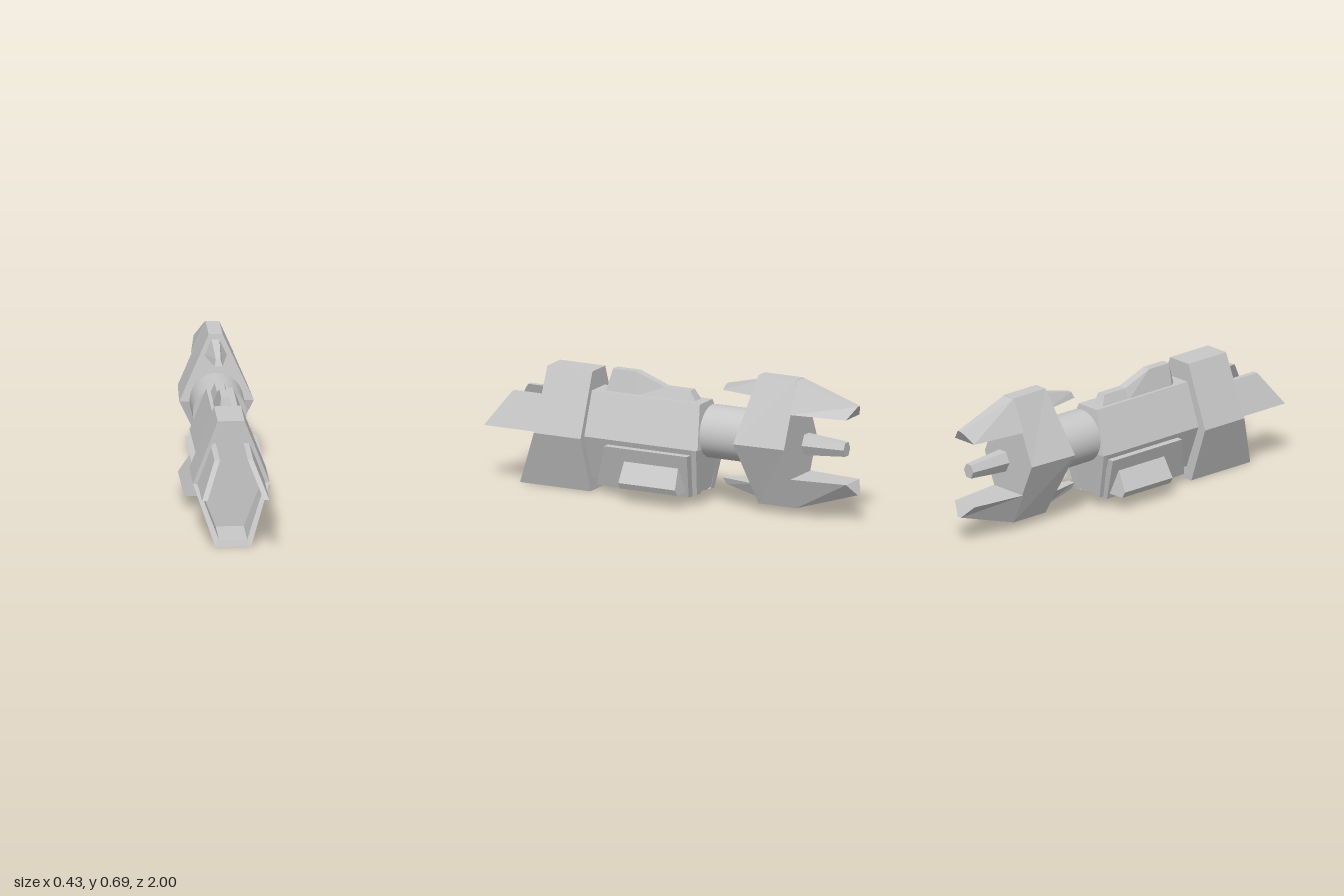
import * as THREE from 'three';

const hull = new THREE.MeshStandardMaterial({ color: 0xc8c8c8 });
hull.name = 'hull grey';

// Flat-faced skin over rings of [x, y, z]; first ring runs counterclockwise seen from outside.
function loft(rings) {
  const pos = [];
  const tri = (...p) => p.forEach((v) => pos.push(...v));
  const n = rings[0].length;
  for (let r = 0; r < rings.length - 1; r++) {
    const a = rings[r], b = rings[r + 1];
    for (let i = 0; i < n; i++) {
      const j = (i + 1) % n;
      tri(a[i], b[i], b[j]);
      tri(a[i], b[j], a[j]);
    }
  }
  const first = rings[0], last = rings[rings.length - 1];
  for (let i = 1; i < n - 1; i++) {
    tri(first[0], first[i], first[i + 1]);
    tri(last[0], last[i + 1], last[i]);
  }
  const g = new THREE.BufferGeometry();
  g.setAttribute('position', new THREE.Float32BufferAttribute(pos, 3));
  g.computeVertexNormals();
  return g;
}

// Mirror rings across x or y, keeping faces outward.
const flip = (rings, axis, about = 0) => rings.map((ring) => ring.map((p) => {
  const q = [...p];
  q[axis] = 2 * about - q[axis];
  return q;
}).reverse());

// Six-sided ring starting at the +x waist: half widths, heights and depths at waist, top, bottom.
function hex(cx, [wm, wt, wb], [ym, yt, yb], [zm, zt, zb]) {
  return [
    [cx + wm, ym, zm], [cx + wt, yt, zt], [cx - wt, yt, zt],
    [cx - wm, ym, zm], [cx - wb, yb, zb], [cx + wb, yb, zb],
  ];
}

// Leaning side plate: outline of [z, y], outer face at x(y), thickness t.
const plate = (outline, x, t) => [0, t].map((d) => outline.map(([z, y]) => [x(y) - d, y, z]));

export function createModel() {
  const model = new THREE.Group();
  model.name = 'spaceship';
  const add = (name, geometry) => {
    const m = new THREE.Mesh(geometry, hull);
    m.name = name;
    model.add(m);
    return m;
  };
  const pair = (name, rings, cx = 0) => {
    add(name + 'Left', loft(rings)).position.x = cx;
    add(name + 'Right', loft(flip(rings, 0))).position.x = cx;
  };

  // Hollow bow with a projecting lower lip
  const cx = -0.012;
  const inner = [0.167, 0.054, 0.069], innerY = [0.29, 0.588, 0.035];
  const outer = [0.188, 0.066, 0.088], outerY = [0.29, 0.604, 0.004];
  add('bow', loft([
    hex(cx, inner, innerY, [0.6, 0.6, 0.6]),
    hex(cx, inner, innerY, [0.71, 0.7, 0.83]),
    hex(cx, outer, outerY, [0.71, 0.7, 0.84]),
    hex(cx, outer, outerY, [0.45, 0.45, 0.45]),
  ]));
  pair('bowFin', plate([[1, 0.29], [0.58, 0.29], [0.58, 0.46], [0.88, 0.46]],
    (y) => 0.165 - (y - 0.29) * 0.41, 0.027), cx);

  // Main hull
  const hullW = [0.145, 0.066, 0.06], hullY = [0.295, 0.51, 0.07];
  add('mainHull', loft([
    hex(-0.006, hullW, hullY, [0.46, 0.46, 0.46]),
    hex(-0.006, hullW, hullY, [-0.18, -0.15, -0.15]),
  ]));

  // Stepped spine on the hull
  const spine = [
    [0.39, 0.5, 0.39, 0.505], [0.36, 0.5, 0.36, 0.62], [0.23, 0.5, 0.23, 0.62],
    [0.07, 0.5, 0.07, 0.56], [-0.07, 0.5, -0.07, 0.56], [-0.1, 0.5, -0.1, 0.505],
  ].map(([zb, yb, zt, yt]) => [
    [-0.058, yb, zb], [0.03, yb, zb], [0.008, yt, zt], [-0.036, yt, zt],
  ]);
  add('spine', loft(spine));

  // Lower side armour, rear strips and pods
  pair('sidePanel', plate([[0.4, 0.05], [-0.11, 0.045], [-0.14, 0.27], [0.32, 0.27]],
    (y) => 0.1 + (y - 0.045) * 0.34, 0.04));
  pair('rearStrip', plate([[-0.125, 0.06], [-0.15, 0.06], [-0.18, 0.3], [-0.155, 0.3]],
    (y) => 0.09 + (y - 0.06) * 0.27, 0.04));
  const podSection = [[0.09, 0.073], [0.2, 0.075], [0.215, 0.105], [0.155, 0.2], [0.12, 0.2]];
  pair('sidePod', [
    podSection.map(([x, y]) => [x, y, 0.22]),
    podSection.map(([x, y]) => [x, y, -0.1 + (y - 0.075) * 0.16]),
  ]);

  // Round neck
  const neck = new THREE.CylinderGeometry(0.132, 0.132, 0.26, 40);
  neck.rotateX(Math.PI / 2);
  add('neck', neck).position.set(-0.003, 0.37, -0.315);

  // Engine block
  const mid = 0.367;
  add('engineBlock', loft([
    hex(-0.003, [0.183, 0.034, 0.034], [mid, 0.69, 0.044], [-0.4, -0.46, -0.46]),
    hex(-0.003, [0.17, 0.034, 0.034], [mid, 0.69, 0.044], [-0.675, -0.675, -0.675]),
  ]));

  // Tapered prongs, above and mirrored below
  const trapezoid = (wb, yb, zb, wt, yt, zt) =>
    [[-wb, yb, zb], [wb, yb, zb], [wt, yt, zt], [-wt, yt, zt]];
  const rearProng = [
    trapezoid(0.105, 0.53, -0.67, 0.034, 0.69, -0.67),
    trapezoid(0.07, 0.53, -0.965, 0.012, 0.59, -1),
  ];
  const frontProng = [
    trapezoid(0.02, 0.588, -0.255, 0.012, 0.62, -0.27),
    trapezoid(0.06, 0.588, -0.47, 0.02, 0.667, -0.47),
  ];
  for (const [name, rings] of [['rearProng', rearProng], ['frontProng', frontProng]]) {
    add(name + 'Upper', loft(rings)).position.x = -0.004;
    add(name + 'Lower', loft(flip(rings, 1, mid))).position.x = -0.004;
  }

  // Thruster between the rear prongs
  add('thruster', loft([
    hex(0, [0.05, 0.025, 0.025], [mid, 0.418, 0.316], [-0.71, -0.71, -0.71]),
    hex(0, [0.034, 0.017, 0.017], [mid, 0.4, 0.332], [-0.935, -0.935, -0.935]),
  ]));

  return model;
}
